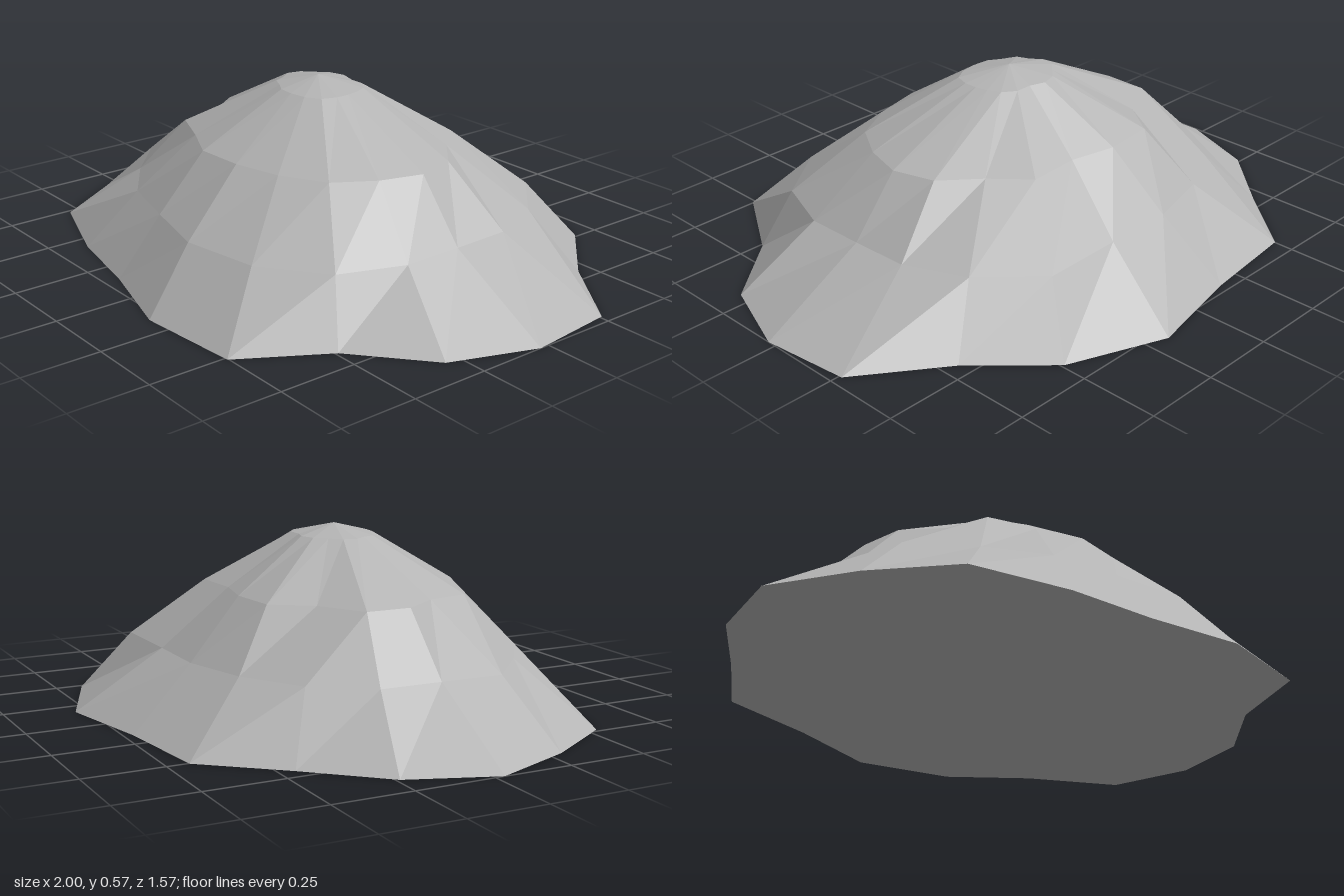
import * as THREE from 'three';

// Radii of each ring, every 20 degrees counter-clockwise from +x seen from above
const RINGS = [
  { y: 0, r: [1, 1.03, 0.914, 0.98, 1.015, 0.93, 1.005, 0.914, 0.957, 1, 0.947, 0.96, 0.865, 0.83, 0.935, 1.02, 0.875, 0.957] },
  { y: 0.19, r: [0.655, 0.69, 0.735, 0.78, 0.68, 0.68, 0.69, 0.71, 0.71, 0.67, 0.72, 0.67, 0.67, 0.66, 0.73, 0.77, 0.76, 0.7] },
  { y: 0.375, r: [0.5, 0.49, 0.45, 0.49, 0.42, 0.46, 0.5, 0.44, 0.52, 0.49, 0.43, 0.49, 0.45, 0.48, 0.47, 0.48, 0.5, 0.49] },
  { y: 0.537, r: [0.15, 0.15, 0.16, 0.16, 0.14, 0.16, 0.16, 0.15, 0.16, 0.16, 0.14, 0.15, 0.14, 0.155, 0.16, 0.17, 0.175, 0.16] },
];
const SIDES = 18;
const DEPTH = 0.82; // the mound is narrower from front to back
const OFFSET = 0.03;
const APEX = [0, 0.57, OFFSET];

function ringPoint(k, i) {
  const n = i % SIDES;
  const a = (n / SIDES) * Math.PI * 2;
  const { y, r } = RINGS[k];
  return [r[n] * Math.cos(a), y, -r[n] * Math.sin(a) * DEPTH + OFFSET];
}

function meshFrom(triangles, material, name) {
  const geometry = new THREE.BufferGeometry();
  geometry.setAttribute('position', new THREE.Float32BufferAttribute(triangles.flat(2), 3));
  geometry.computeVertexNormals();
  const mesh = new THREE.Mesh(geometry, material);
  mesh.name = name;
  return mesh;
}

export function createModel() {
  const group = new THREE.Group();
  group.name = 'rockMound';
  const stone = new THREE.MeshStandardMaterial({ color: 0xb4b4b4, flatShading: true });
  stone.name = 'grey stone';

  const slope = [];
  const base = [];
  for (let i = 0; i < SIDES; i++) {
    // Faceted slopes between neighbouring rings
    for (let k = 0; k < RINGS.length - 1; k++) {
      const a = ringPoint(k, i), b = ringPoint(k, i + 1);
      const c = ringPoint(k + 1, i + 1), d = ringPoint(k + 1, i);
      slope.push([a, b, c], [a, c, d]);
    }
    // Peak and flat underside
    const top = RINGS.length - 1;
    slope.push([ringPoint(top, i), ringPoint(top, i + 1), APEX]);
    base.push([ringPoint(0, i + 1), ringPoint(0, i), [0, 0, OFFSET]]);
  }

  group.add(meshFrom(slope, stone, 'slopes'), meshFrom(base, stone, 'underside'));
  return group;
}
